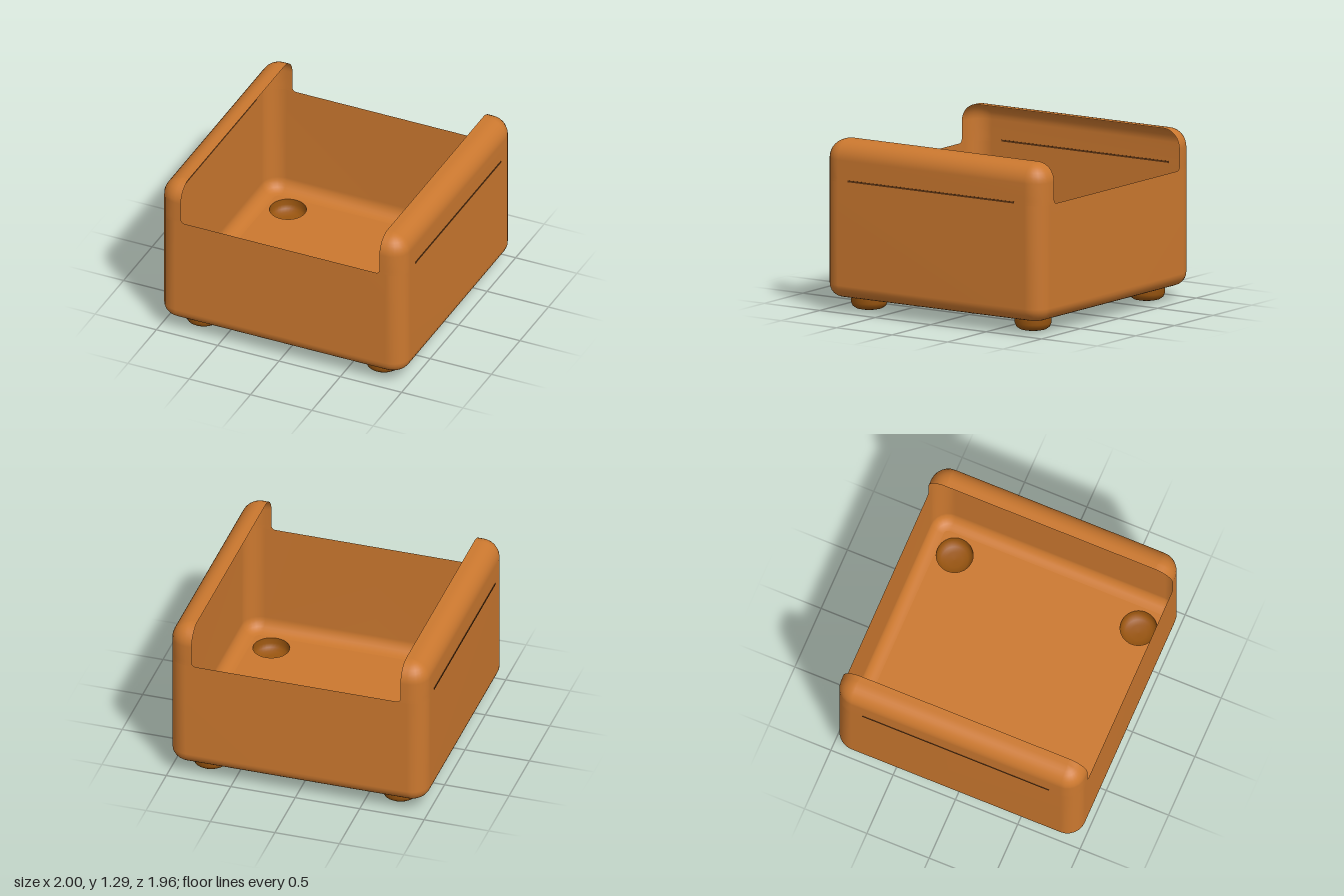
import * as THREE from 'three';

const HX = 0.997, HZ = 0.98;            // half width and depth
const FLOOR = 0.105, RIM = 0.985, TOP = 1.29;
const R = 0.14, RB = 0.1;               // upright/top rounding, bottom rounding
const CUT = 0.81;                       // half width of the opening
const STEPS = 6;
const FOOT_X = 0.735, FOOT_Z = 0.738, FOOT_R = 0.137;

// One half of a rounded rectangle inset by d, from the front round to the back.
function halfOutline(d, startX) {
  const pts = [[startX, HZ - d]], r = Math.max(R - d, 0);
  for (const side of [1, -1]) {
    for (let i = 0; i <= STEPS; i++) {
      const a = (side > 0 ? 1 - i / STEPS : -i / STEPS) * Math.PI / 2;
      pts.push([HX - R + r * Math.cos(a), side * (HZ - R) + r * Math.sin(a)]);
    }
  }
  pts.push([startX, -(HZ - d)]);
  return pts;
}

// Skin a stack of rings; s = 1 or -1 picks the side of the mirror plane.
function skin(rings, s) {
  const pos = [], idx = [], n = rings[0].pts.length;
  for (const { y, pts } of rings) for (const [x, z] of pts) pos.push(s * x, y, z);
  for (let i = 0; i < rings.length - 1; i++) {
    for (let j = 0; j < n - 1; j++) {
      const a = i * n + j, b = a + 1, c = a + n, d = c + 1;
      if (s > 0) idx.push(a, b, c, b, d, c);
      else idx.push(a, c, b, b, c, d);
    }
  }
  const g = new THREE.BufferGeometry();
  g.setAttribute('position', new THREE.Float32BufferAttribute(pos, 3));
  g.setIndex(idx);
  g.computeVertexNormals();
  return g;
}

function lowerRings() {
  const rings = [];
  for (let i = 0; i <= STEPS; i++) {
    const t = i / STEPS * Math.PI / 2;
    rings.push({ y: FLOOR + RB * (1 - Math.cos(t)), pts: halfOutline(RB * (1 - Math.sin(t)), 0) });
  }
  rings.push({ y: RIM, pts: halfOutline(0, 0) });
  return rings;
}

function upperRings() {
  const rings = [], f = 0.03;
  // small rounding where the opening meets the low front and back walls
  for (let i = 0; i <= 4; i++) {
    const t = i / 4 * Math.PI / 2;
    rings.push({ y: RIM + f * (1 - Math.cos(t)), pts: halfOutline(0, CUT - f * (1 - Math.sin(t))) });
  }
  // rounded top curling inward
  for (let i = 0; i <= STEPS + 2; i++) {
    const t = i / (STEPS + 2) * Math.PI / 2;
    rings.push({ y: TOP - R + R * Math.sin(t), pts: halfOutline(R * (1 - Math.cos(t)), CUT) });
  }
  // lip reaching to the opening
  const last = rings[rings.length - 1].pts;
  rings.push({ y: TOP, pts: last.map(([, z]) => [CUT, z]) });
  return rings;
}

// Floor plate with round openings into the hollow feet.
function floorGeometry() {
  const half = halfOutline(RB, 0);
  const outline = [...half, ...half.slice(1, -1).reverse().map(([x, z]) => [-x, z])];
  const shape = new THREE.Shape(outline.map(([x, z]) => new THREE.Vector2(x, z)));
  for (const sx of [1, -1]) for (const sz of [1, -1]) {
    const hole = new THREE.Path();
    hole.absarc(sx * FOOT_X, sz * FOOT_Z, FOOT_R, 0, Math.PI * 2, true);
    shape.holes.push(hole);
  }
  return new THREE.ShapeGeometry(shape, 16).rotateX(Math.PI / 2).translate(0, FLOOR, 0);
}

export function createModel() {
  const model = new THREE.Group();
  model.name = 'openBox';
  const orange = new THREE.MeshStandardMaterial({ color: 0xcb782f, side: THREE.DoubleSide });
  orange.name = 'warm orange';
  const brown = new THREE.MeshStandardMaterial({ color: 0x99550f, side: THREE.DoubleSide });
  brown.name = 'foot brown';
  const dark = new THREE.MeshStandardMaterial({ color: 0x5f3512 });
  dark.name = 'groove brown';

  const add = (name, geometry, material) => {
    const mesh = new THREE.Mesh(geometry, material);
    mesh.name = name;
    model.add(mesh);
    return mesh;
  };

  add('floor', floorGeometry(), orange);

  for (const s of [1, -1]) {
    const side = s > 0 ? 'left' : 'right';
    add(side + 'LowerShell', skin(lowerRings(), s), orange);
    add(side + 'RaisedSide', skin(upperRings(), s), orange);
    // thin groove seen inside and outside
    add(side + 'Groove', new THREE.BoxGeometry(0.006, 0.013, 1.5), dark).position.set(s * HX, 0.998, 0);
  }

  // hollow, rounded feet
  const profile = [[0, 0.004], [0.06, 0.006], [0.1, 0.015], [0.125, 0.032], [FOOT_R, 0.06], [FOOT_R, FLOOR]]
    .map(([x, y]) => new THREE.Vector2(x, y - 0.004 * (1 - y / FLOOR)));
  profile[0].y = 0;
  const footGeometry = new THREE.LatheGeometry(profile, 32);
  for (const sx of [1, -1]) for (const sz of [1, -1]) {
    add((sz > 0 ? 'front' : 'back') + (sx > 0 ? 'Left' : 'Right') + 'Foot', footGeometry, brown)
      .position.set(sx * FOOT_X, 0, sz * FOOT_Z);
  }
  return model;
}
